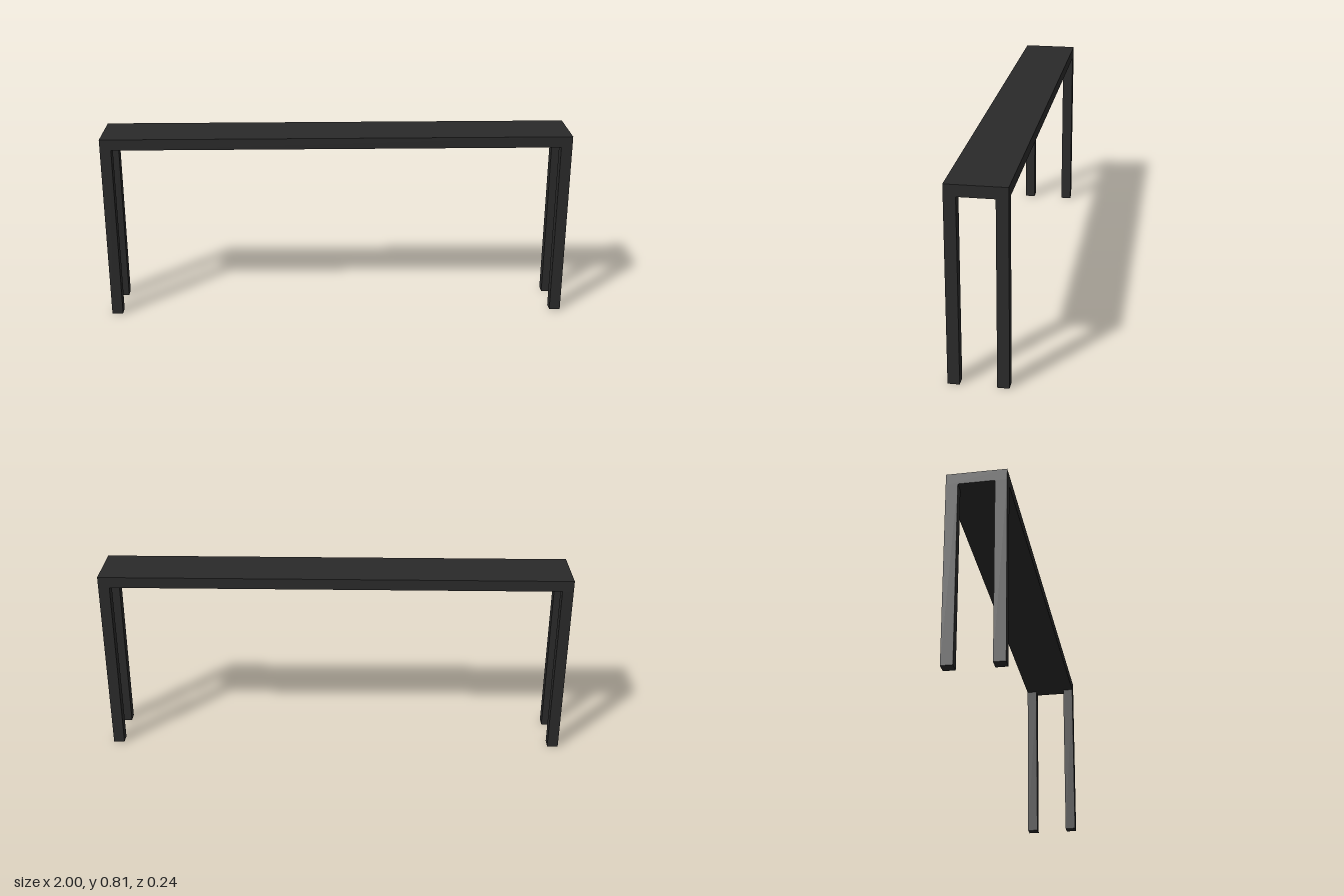
import * as THREE from 'three';

const LENGTH = 2, DEPTH = 0.238, HEIGHT = 0.81, BAR = 0.047;

export function createModel() {
  const model = new THREE.Group();
  model.name = 'consoleTable';
  const material = new THREE.MeshStandardMaterial({ color: 0x2a2a2a });

  const addBox = (name, w, h, d, x, y, z) => {
    const mesh = new THREE.Mesh(new THREE.BoxGeometry(w, h, d), material);
    mesh.name = name;
    mesh.position.set(x, y, z);
    model.add(mesh);
  };

  // Long, narrow top
  addBox('tableTop', LENGTH, BAR, DEPTH, 0, HEIGHT - BAR / 2, 0);

  // Square legs, flush with the corners of the top
  const legHeight = HEIGHT - BAR;
  for (const [side, sx] of [['Left', 1], ['Right', -1]]) {
    for (const [end, sz] of [['front', 1], ['back', -1]]) {
      addBox(`${end}${side}Leg`, BAR, legHeight, BAR,
        sx * (LENGTH - BAR) / 2, legHeight / 2, sz * (DEPTH - BAR) / 2);
    }
  }
  return model;
}
